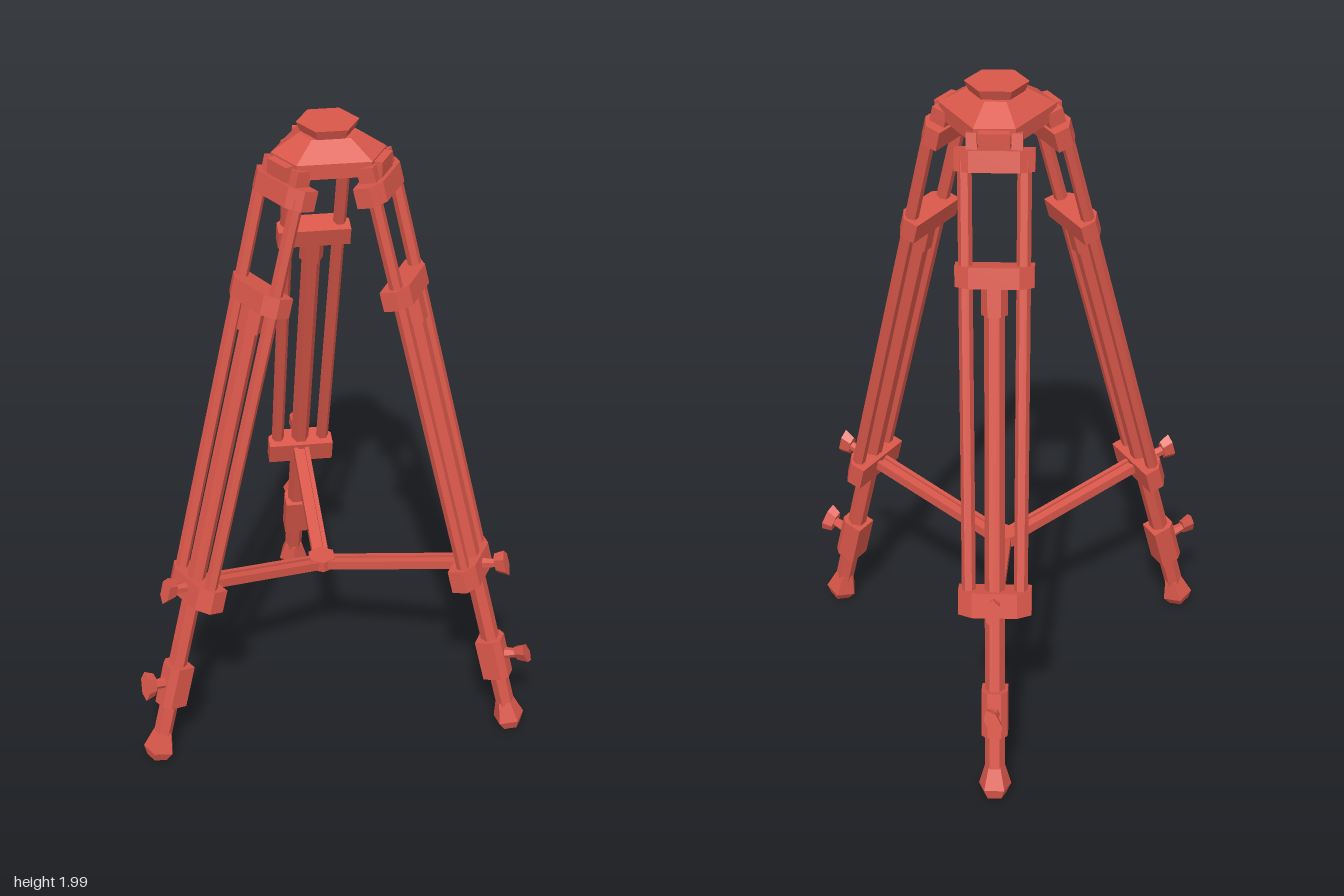
import * as THREE from 'three';

const red = new THREE.MeshStandardMaterial({ color: 0xd9574a, flatShading: true });
red.name = 'red';

function part(name, geometry, parent, x = 0, y = 0, z = 0) {
  const mesh = new THREE.Mesh(geometry, red);
  mesh.name = name;
  mesh.position.set(x, y, z);
  parent.add(mesh);
  return mesh;
}

// prism along y, from a plan outline of [x, z] points
function prism(points, height) {
  const shape = new THREE.Shape(points.map(([x, z]) => new THREE.Vector2(x, z)));
  const g = new THREE.ExtrudeGeometry(shape, { depth: height, bevelEnabled: false });
  return g.rotateX(Math.PI / 2).translate(0, height / 2, 0);
}

// cross bar with chamfered outer corners that ties the rails together
const collar = (height, w = 0.11) => prism([
  [-w, -0.04], [w, -0.04], [w, 0.008], [w - 0.04, 0.036], [0.04 - w, 0.036], [-w, 0.008],
], height);

// post along y between distances a and b below the hinge
function post(name, radius, a, b, parent, x = 0, z = 0, sides = 6) {
  const g = new THREE.CylinderGeometry(radius, radius, b - a, sides);
  g.rotateY(Math.PI / 6);
  return part(name, g, parent, x, -(a + b) / 2, z);
}

// wing screw pointing outward
function knob(parent, s, z, twist) {
  const group = new THREE.Group();
  group.name = 'wingScrew';
  group.position.set(0, -s, z);
  group.rotation.z = twist;
  const stem = new THREE.CylinderGeometry(0.014, 0.018, 0.05, 6).rotateX(Math.PI / 2);
  part('screwStem', stem, group, 0, 0, 0.02);
  const wing = new THREE.CylinderGeometry(0.045, 0.034, 0.034, 6).rotateX(Math.PI / 2);
  wing.scale(0.5, 1, 1);
  part('screwWing', wing, group, 0, 0, 0.058);
  parent.add(group);
}

function createLeg() {
  const side = new THREE.Group();
  part('hingeTongue', new THREE.BoxGeometry(0.085, 0.07, 0.06), side, 0, 1.885, 0.15);

  const leg = new THREE.Group();
  leg.name = 'slantedLeg';
  leg.position.set(0, 1.84, 0.17);
  leg.rotation.x = -0.259;
  side.add(leg);

  part('yoke', collar(0.06), leg, 0, 0, -0.005);
  for (const x of [-1, 1]) {
    const rail = post('rail', 0.02, 0, 1.27, leg, x * 0.078);
    rail.rotation.z = x * -0.006;
    part('yokeEar', new THREE.BoxGeometry(0.03, 0.07, 0.05), leg, x * 0.062, 0.04, -0.012);
  }
  part('upperCollar', collar(0.06), leg, 0, -0.32, 0);
  post('sleeve', 0.037, 0.34, 0.43, leg);
  post('innerTube', 0.029, 0.32, 1.82, leg);
  part('lowerCollar', collar(0.075, 0.105), leg, 0, -1.275, 0);
  knob(leg, 1.27, 0.035, 0);

  // height clamp with its screw
  part('clamp', prism([
    [-0.038, -0.038], [0.038, -0.038], [0.038, 0.02], [0.02, 0.04], [-0.02, 0.04], [-0.038, 0.02],
  ], 0.14), leg, 0, -1.615, 0);
  knob(leg, 1.605, 0.035, 0.45);

  // flared five-sided foot
  const profile = [[0, 0], [0.034, 0], [0.05, 0.03], [0.03, 0.095], [0, 0.095]];
  const foot = new THREE.LatheGeometry(profile.map(([r, y]) => new THREE.Vector2(r, y)), 5);
  foot.rotateY(Math.PI / 5);
  part('foot', foot, leg, 0, -1.882, 0);

  // spreader arm: two strips joined by a web
  const arm = new THREE.Group();
  arm.name = 'spreaderArm';
  const dz = 0.44, dy = 0.125, length = Math.hypot(dz, dy);
  arm.position.set(0, 0.488 + dy / 2, 0.03 + dz / 2);
  arm.rotation.x = -Math.atan2(dy, dz);
  for (const x of [-0.018, 0.018]) {
    part('armStrip', new THREE.BoxGeometry(0.014, 0.028, length), arm, x);
  }
  part('armWeb', new THREE.BoxGeometry(0.03, 0.012, length), arm);
  side.add(arm);
  return side;
}

export function createModel() {
  const model = new THREE.Group();
  model.name = 'tripod';
  const body = new THREE.Group();
  body.name = 'tripodBody';
  body.position.z = -0.16;
  model.add(body);

  // three legs around the axis
  ['frontLeg', 'leftBackLeg', 'rightBackLeg'].forEach((name, i) => {
    const leg = createLeg();
    leg.name = name;
    leg.rotation.y = i * Math.PI * 2 / 3;
    body.add(leg);
  });

  // head: uneven hexagon, vertical rim and sloping shoulder, built in rings
  const corner = (i, scale, y) => {
    const a = Math.floor(i / 2) * Math.PI * 2 / 3 + (i % 2 ? 0.355 : -0.355);
    return [Math.sin(a) * 0.166 * scale, y, Math.cos(a) * 0.166 * scale];
  };
  const rings = [[0, 1.88], [1, 1.88], [1, 1.925], [0.52, 1.972], [0, 1.972]];
  const pos = [];
  for (let k = 0; k < rings.length - 1; k++) {
    for (let i = 0; i < 6; i++) {
      const j = (i + 1) % 6;
      const a = corner(i, ...rings[k]), b = corner(j, ...rings[k]);
      const c = corner(j, ...rings[k + 1]), d = corner(i, ...rings[k + 1]);
      if (rings[k][0] > 0) pos.push(...a, ...b, ...c);
      if (rings[k + 1][0] > 0) pos.push(...a, ...c, ...d);
    }
  }
  const headGeometry = new THREE.BufferGeometry();
  headGeometry.setAttribute('position', new THREE.Float32BufferAttribute(pos, 3));
  headGeometry.computeVertexNormals();
  part('head', headGeometry, body);

  // mounting plate
  const plate = new THREE.CylinderGeometry(0.09, 0.075, 0.035, 6);
  plate.rotateY(Math.PI / 6);
  part('mountingPlate', plate, body, 0, 1.9825, 0);

  // hub where the spreader arms meet
  const hub = new THREE.CylinderGeometry(0.045, 0.045, 0.036, 6);
  part('spreaderHub', hub, body, 0, 0.488, 0);

  return model;
}
